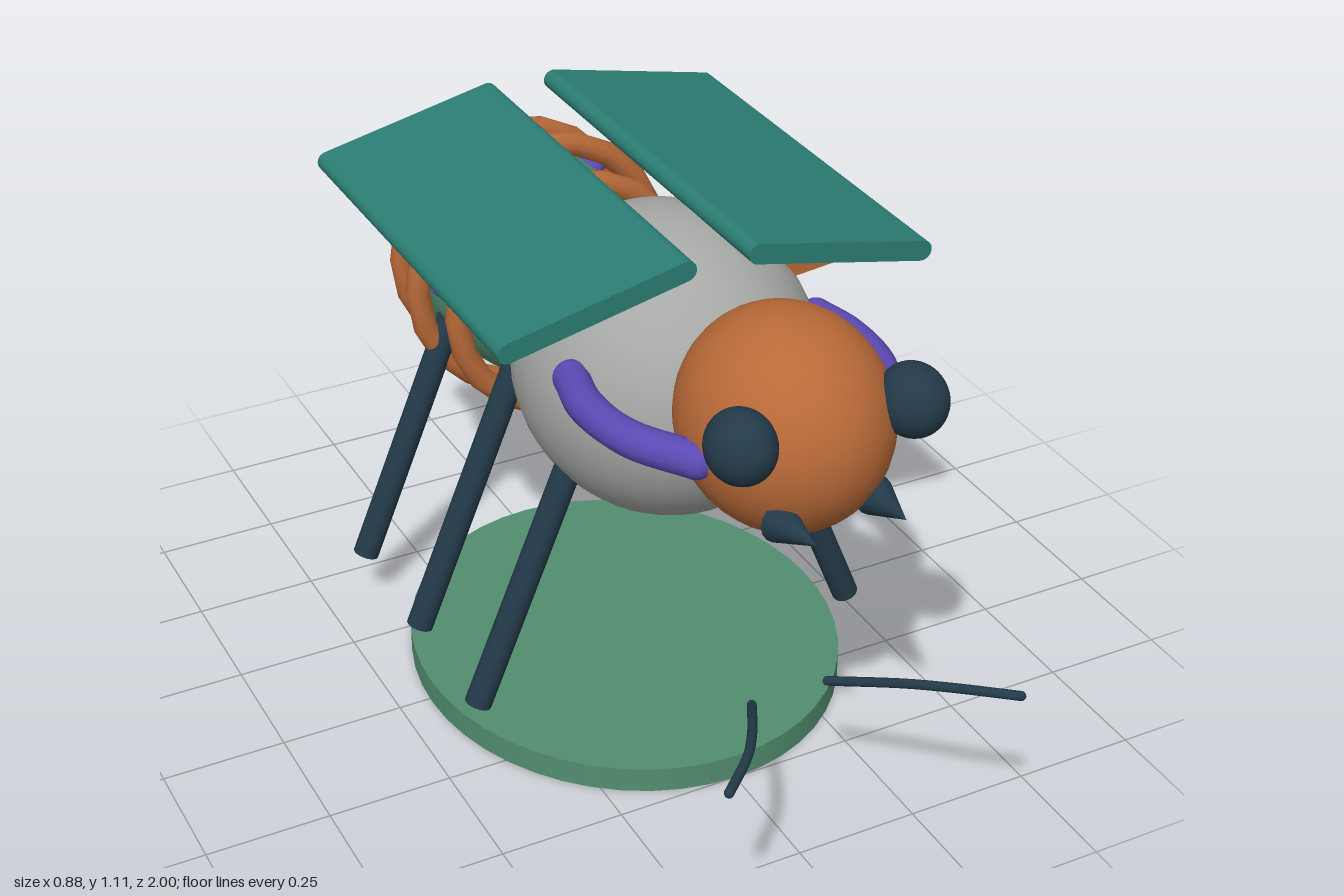
import * as THREE from 'three';

const mat = (name, color, extra = {}) => {
  const m = new THREE.MeshStandardMaterial({ color, ...extra });
  m.name = name;
  return m;
};
const V = (x, y, z) => new THREE.Vector3(x, y, z);

export function createModel() {
  const model = new THREE.Group();
  model.name = 'bee';
  const orange = mat('orange', 0xb96a38);
  const grey = mat('grey', 0xa6a9a5);
  const green = mat('green', 0x528e6f);
  const teal = mat('teal', 0x2b7d73);
  const navy = mat('navy', 0x233a49);
  const purple = mat('purple', 0x5c49b4);

  const add = (name, geo, material, x = 0, y = 0, z = 0) => {
    const m = new THREE.Mesh(geo, material);
    m.name = name;
    m.position.set(x, y, z);
    model.add(m);
    return m;
  };
  const ball = (name, material, p, r) =>
    add(name, new THREE.SphereGeometry(1, 36, 24), material, ...p).scale.set(...r);

  // Cylinder or cone running from a to b
  const rod = (name, material, a, b, ra, rb, sides = 20) => {
    const d = b.clone().sub(a);
    const mid = a.clone().add(b).multiplyScalar(0.5);
    const m = add(name, new THREE.CylinderGeometry(rb, ra, d.length(), sides), material, mid.x, mid.y, mid.z);
    m.quaternion.setFromUnitVectors(V(0, 1, 0), d.normalize());
  };

  // Round-edged slab: stadium between two x,y points, extruded from z0 to z1
  const slab = (name, material, [x1, y1], [x2, y2], r, z0, z1) => {
    const len = Math.hypot(x2 - x1, y2 - y1);
    const s = new THREE.Shape();
    s.absarc(len, 0, r, -Math.PI / 2, Math.PI / 2, false);
    s.absarc(0, 0, r, Math.PI / 2, Math.PI * 1.5, false);
    const geo = new THREE.ExtrudeGeometry(s, { depth: z1 - z0, bevelEnabled: false, curveSegments: 10 });
    add(name, geo, material, x1, y1, z0).rotation.z = Math.atan2(y2 - y1, x2 - x1);
  };

  // Tube with rounded ends
  const tube = (name, material, pts, r) => {
    add(name, new THREE.TubeGeometry(new THREE.CatmullRomCurve3(pts), 28, r, 12), material);
    for (const p of [pts[0], pts[pts.length - 1]])
      ball(name + 'End', material, p.toArray(), [r, r, r]);
  };

  // Base disc
  add('base', new THREE.CylinderGeometry(1, 1, 0.053, 48), green, 0, 0.0265, 0.015).scale.set(0.434, 1, 0.485);

  // Body
  ball('thorax', grey, [0, 0.79, 0.185], [0.288, 0.299, 0.314]);
  ball('head', orange, [0, 0.9, 0.632], [0.19, 0.204, 0.213]);
  ball('abdomen', green, [0, 0.72, -0.42], [0.235, 0.223, 0.375]);
  rod('stinger', orange, V(0, 0.691, -0.7), V(0, 0.691, -0.997), 0.102, 0, 32);

  // Abdomen rings
  for (const [z, R] of [[-0.23, 0.246], [-0.375, 0.27], [-0.514, 0.246]])
    add('abdomenRing', new THREE.TorusGeometry(R, 0.025, 12, 20), orange, 0, 0.72, z);

  // Mirrored parts
  for (const s of [-1, 1]) {
    const side = s > 0 ? 'left' : 'right';
    ball(side + 'Eye', navy, [s * 0.168, 0.965, 0.775], [0.062, 0.067, 0.07]);
    rod(side + 'Mandible', navy, V(s * 0.094, 0.798, 0.785), V(s * 0.088, 0.815, 0.898), 0.037, 0, 16);

    slab(side + 'Wing', teal, [s * 0.42, 1.017], [s * 0.073, 1.093], 0.02, -0.445, 0.405);
    slab(side + 'SmallWing', orange, [s * 0.327, 0.98], [s * 0.19, 0.966], 0.018, 0.043, 0.279);

    tube(side + 'Collar', purple, [
      V(s * 0.255, 0.875, 0.31), V(s * 0.274, 0.875, 0.41),
      V(s * 0.255, 0.875, 0.54), V(s * 0.185, 0.875, 0.655)], 0.034);

    tube(side + 'Antenna', navy, [
      V(s * 0.08, 0.337, 0.69), V(s * 0.16, 0.398, 0.83),
      V(s * 0.215, 0.423, 0.91), V(s * 0.295, 0.433, 0.99)], 0.009);

    for (const z of [0.21, -0.08, -0.37])
      rod(side + 'Leg', navy, V(s * 0.417, 0.128, z), V(s * 0.175, 0.715, z), 0.027, 0.027);

    // Spots on the abdomen
    ball(side + 'UpperSpot', purple, [s * 0.152, 0.888, -0.44], [0.031, 0.026, 0.038]);
    ball(side + 'SideSpot', purple, [s * 0.222, 0.72, -0.375], [0.02, 0.012, 0.05]);
  }
  return model;
}
